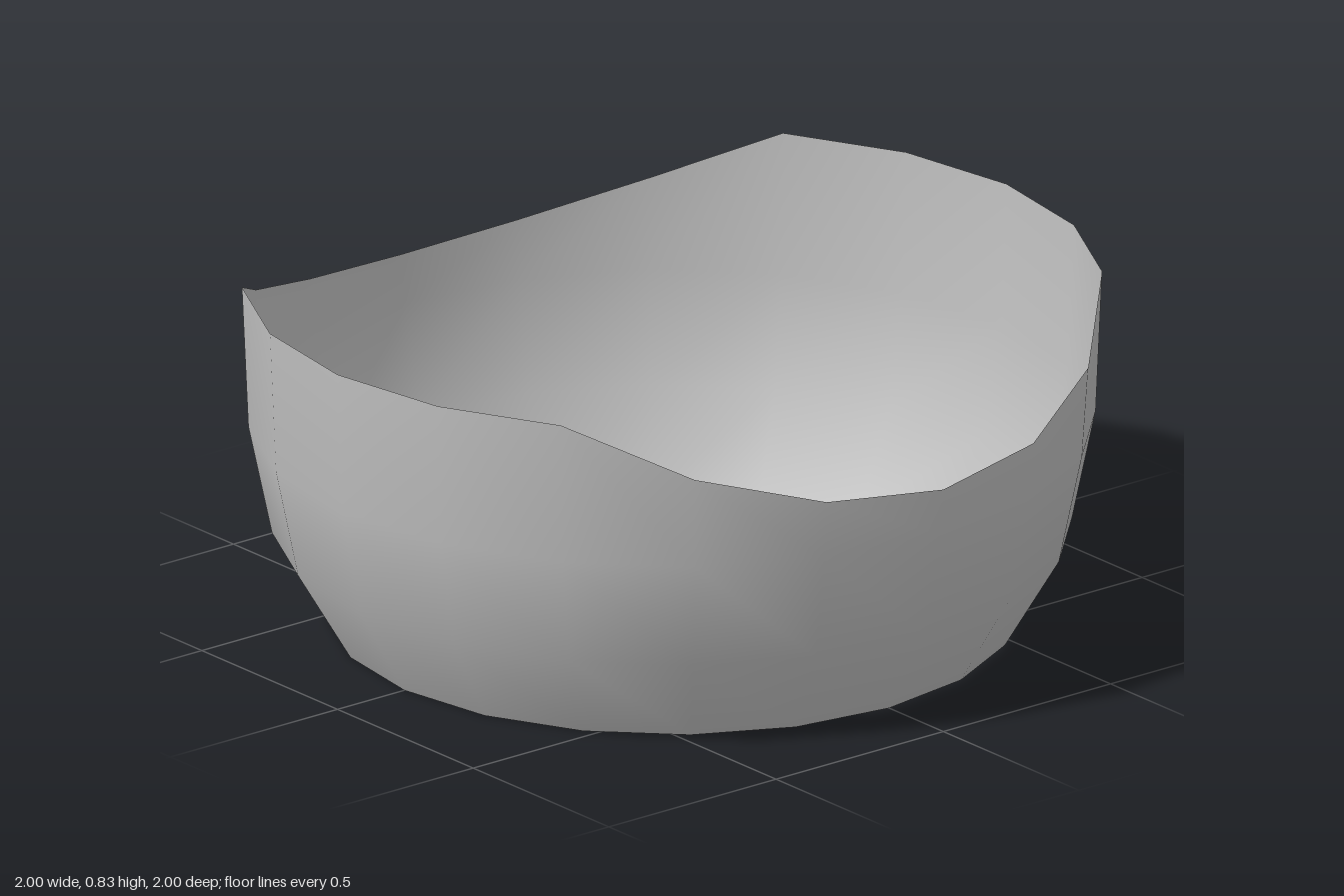
import * as THREE from 'three';

export function createModel() {
  const group = new THREE.Group();
  const grey = new THREE.MeshStandardMaterial({ color: 0xc0c0c0, side: THREE.DoubleSide });
  grey.name = 'grey';

  // Open bowl-shaped band, twenty sides, smooth normals
  const rimHeight = 0.83;
  const profile = [[0.8, 0], [0.93, 0.22], [0.985, 0.485], [1, rimHeight]]
    .map(([r, y]) => new THREE.Vector2(r, y));
  const geometry = new THREE.LatheGeometry(profile, 20);

  // The rim slopes down toward the front and the back
  const pos = geometry.attributes.position;
  for (let i = 0; i < pos.count; i++) {
    if (pos.getY(i) < rimHeight - 0.01) continue;
    pos.setY(i, Math.min(rimHeight, 0.6 + (1 - Math.abs(pos.getZ(i))) * 0.56));
  }

  const band = new THREE.Mesh(geometry, grey);
  band.name = 'band';
  group.add(band);
  return group;
}
